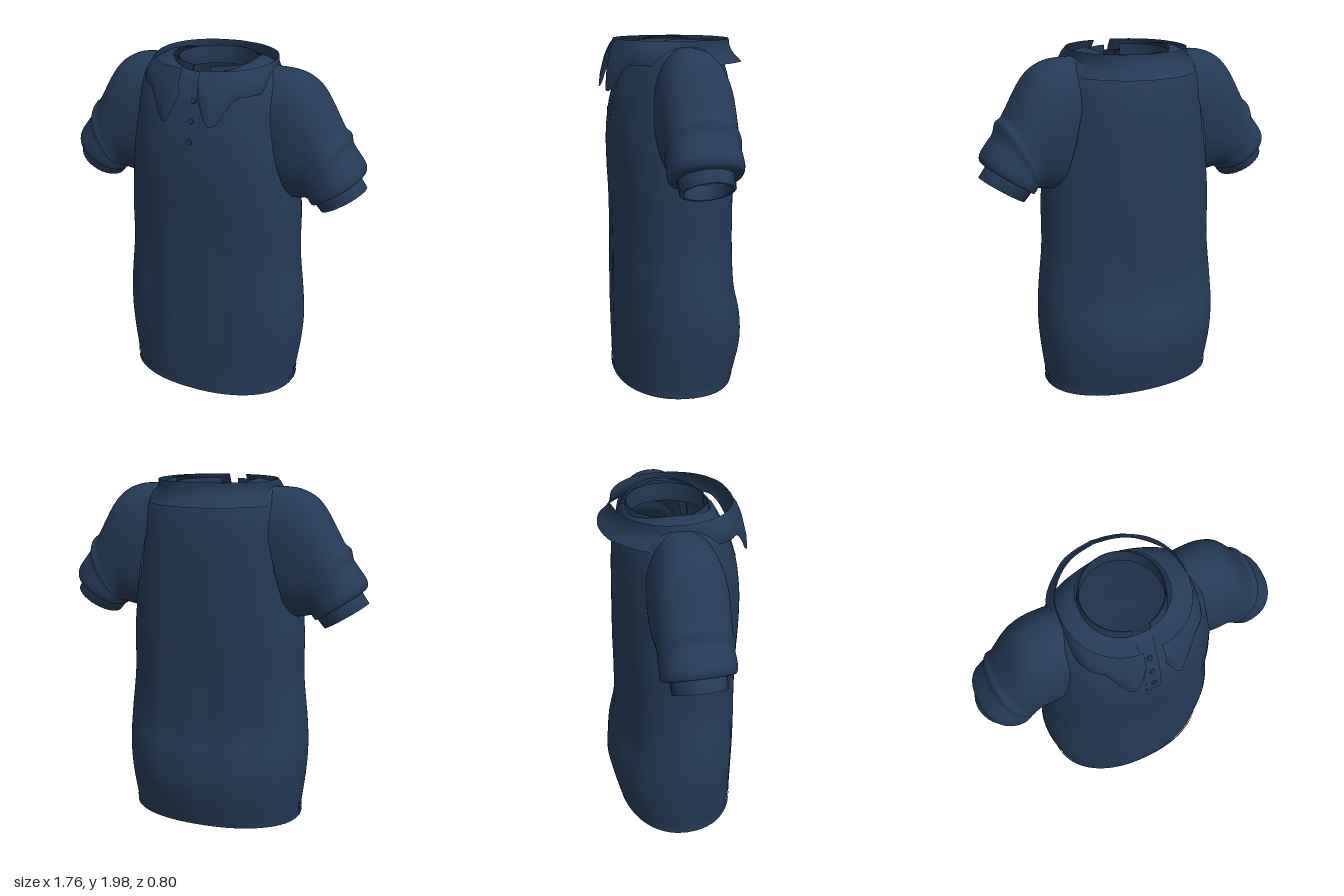
import * as THREE from 'three';

const navy = new THREE.MeshStandardMaterial({ color: 0x243a57, side: THREE.DoubleSide });
navy.name = 'navy cloth';

// Skin a list of cross-sections; closed joins each ring to itself, skip leaves holes
function loft(name, rings, closed = true, skip = () => false) {
  const n = rings[0].length, pos = [], idx = [];
  rings.forEach(r => r.forEach(p => pos.push(p.x, p.y, p.z)));
  for (let i = 0; i < rings.length - 1; i++) {
    for (let j = 0; j < (closed ? n : n - 1); j++) {
      const k = (j + 1) % n;
      const mid = rings[i][j].clone().add(rings[i + 1][k]).multiplyScalar(0.5);
      if (skip(mid)) continue;
      const a = i * n + j, b = i * n + k, c = a + n, d = b + n;
      idx.push(a, b, d, a, d, c);
    }
  }
  const g = new THREE.BufferGeometry();
  g.setAttribute('position', new THREE.Float32BufferAttribute(pos, 3));
  g.setIndex(idx);
  g.computeVertexNormals();
  const mesh = new THREE.Mesh(g, navy);
  mesh.name = name;
  return mesh;
}

// Smoothly subdivide rows of numbers
function smoothRows(rows, steps) {
  const out = [], at = i => rows[Math.min(rows.length - 1, Math.max(0, i))];
  for (let i = 0; i < rows.length - 1; i++) {
    for (let s = 0; s < steps; s++) {
      const t = s / steps;
      out.push(rows[i].map((b, k) => {
        const a = at(i - 1)[k], c = at(i + 1)[k], d = at(i + 2)[k];
        return b + 0.5 * t * (c - a + t * (2 * a - 5 * b + 4 * c - d + t * (3 * (b - c) + d - a)));
      }));
    }
  }
  out.push(rows[rows.length - 1]);
  return out;
}

const power = (v, e) => Math.sign(v) * Math.abs(v) ** e;

// Torso rows: height, half width, front z, back z, side lift
const torsoRows = smoothRows([
  [0.01, 0.505, 0.345, -0.335, 0], [0.06, 0.51, 0.35, -0.352, 0], [0.25, 0.535, 0.352, -0.392, 0],
  [0.42, 0.546, 0.354, -0.382, 0], [0.6, 0.538, 0.354, -0.342, 0], [0.85, 0.512, 0.352, -0.333, 0],
  [1.1, 0.508, 0.357, -0.335, 0], [1.25, 0.497, 0.366, -0.333, 0], [1.4, 0.485, 0.37, -0.33, 0],
  [1.52, 0.472, 0.364, -0.328, 0], [1.65, 0.455, 0.345, -0.323, 0], [1.76, 0.44, 0.31, -0.31, 0.03],
  [1.83, 0.41, 0.28, -0.292, 0.06], [1.885, 0.355, 0.25, -0.275, 0.06],
  [1.925, 0.29, 0.228, -0.262, 0.055], [1.943, 0.235, 0.205, -0.25, 0.05],
], 5);

function frontZ(y) {
  const i = Math.max(1, torsoRows.findIndex(r => r[0] >= y));
  const [a, b] = [torsoRows[i - 1], torsoRows[i]];
  return a[2] + (b[2] - a[2]) * (y - a[0]) / (b[0] - a[0]);
}

function torsoRing([y, w, zf, zb, lift], inset = 0) {
  const ring = [];
  for (let j = 0; j < 120; j++) {
    const a = j / 120 * Math.PI * 2, s = Math.sin(a), c = Math.cos(a);
    const x = (w - inset) * power(s, 0.91);
    // soft hanging folds, fading toward the chest and the hem
    const fold = 0.005 * Math.sin(x * 27) * Math.sin(Math.PI * Math.min(1, y / 1.3)) * c;
    ring.push(new THREE.Vector3(x, y + lift * s * s,
      ((c > 0 ? zf : -zb) - inset) * power(c, 0.91) + fold));
  }
  return ring;
}

// Sleeve rows: outer x, y, inner x, y, half depth
const sleeveRows = smoothRows([
  [0.3, 1.955, 0.46, 1.23, 0.2], [0.45, 1.95, 0.5, 1.235, 0.208], [0.55, 1.912, 0.53, 1.24, 0.205],
  [0.62, 1.84, 0.55, 1.245, 0.2], [0.7, 1.7, 0.562, 1.25, 0.197], [0.73, 1.65, 0.566, 1.252, 0.197],
  [0.762, 1.625, 0.57, 1.25, 0.202], [0.78, 1.565, 0.575, 1.252, 0.196], [0.82, 1.51, 0.58, 1.245, 0.2],
  [0.858, 1.455, 0.588, 1.235, 0.2], [0.862, 1.41, 0.595, 1.228, 0.188], [0.83, 1.385, 0.603, 1.238, 0.15],
], 4);

function sleeveRing([ox, oy, ix, iy, h], side, n = 2.3) {
  const ring = [];
  for (let j = 0; j < 64; j++) {
    const a = j / 64 * Math.PI * 2, u = power(Math.cos(a), 2 / n), v = power(Math.sin(a), 2 / n);
    ring.push(new THREE.Vector3(side * ((ox + ix) / 2 + u * (ox - ix) / 2),
      (oy + iy) / 2 + u * (oy - iy) / 2, -0.015 + v * h));
  }
  return ring;
}

// Collar leaf, front opening to centre back: top x, z, then bottom x, y, z
const collarRows = smoothRows([
  [0.05, 0.32, 0.05, 1.86, 0.362], [0.07, 0.318, 0.08, 1.79, 0.385], [0.1, 0.313, 0.11, 1.73, 0.396],
  [0.13, 0.305, 0.137, 1.71, 0.394], [0.17, 0.288, 0.17, 1.73, 0.37], [0.21, 0.262, 0.205, 1.795, 0.34],
  [0.25, 0.228, 0.245, 1.852, 0.3], [0.295, 0.165, 0.305, 1.86, 0.25], [0.325, 0.08, 0.345, 1.86, 0.15],
  [0.335, -0.02, 0.352, 1.86, 0], [0.315, -0.13, 0.348, 1.86, -0.19], [0.25, -0.23, 0.21, 1.86, -0.338],
  [0.14, -0.3, 0.11, 1.86, -0.384], [0, -0.328, 0, 1.86, -0.4],
], 4);

export function createModel() {
  const shirt = new THREE.Group();
  shirt.name = 'shortSleeveShirt';

  // Torso, open at hem, neck and armholes
  const hemLip = torsoRing([0.03, 0.505, 0.345, -0.335, 0], 0.015);
  const armhole = p => Math.abs(p.x) > 0.28 &&
    ((p.y - 1.57) / 0.315) ** 2 + ((p.z + 0.015) / 0.185) ** 2 < 1;
  shirt.add(loft('torso', [hemLip, ...torsoRows.map(r => torsoRing(r))], true, armhole));

  // Hem band
  const hem = [0.012, 0.05].map(y => torsoRing([y, 0.513, 0.353, -0.35 + (0.05 - y) * 0.25, 0]));
  shirt.add(loft('hemBand', hem));

  for (const side of [1, -1]) {
    const label = side > 0 ? 'left' : 'right';
    // Sleeve
    shirt.add(loft(label + 'Sleeve', sleeveRows.map(r => sleeveRing(r, side))));
    // Ribbed cuff, folded inside at its mouth
    const cuff = [
      [0.825, 1.4, 0.585, 1.25, 0.145], [0.838, 1.39, 0.59, 1.24, 0.15], [0.88, 1.33, 0.642, 1.18, 0.145],
      [0.862, 1.32, 0.66, 1.193, 0.122], [0.82, 1.385, 0.62, 1.26, 0.122],
    ].map(r => sleeveRing(r, side, 2));
    cuff.slice(1, 3).forEach(ring => ring.forEach((p, j) => { p.z *= j % 2 ? 1.015 : 0.985; }));
    shirt.add(loft(label + 'Cuff', cuff));
    // Side vent seam at the hem
    const vent = new THREE.Mesh(new THREE.BoxGeometry(0.006, 0.12, 0.006), navy);
    vent.position.set(side * 0.512, 0.07, -0.01);
    vent.name = label + 'VentSeam';
    shirt.add(vent);
  }

  // Turned-down collar: tips bulge forward, the back flares outward
  const half = collarRows.map(r => [0, 0.25, 0.5, 0.75, 1].map(t => {
    const [tx, tz, bx, by, bz] = r, bulge = 4 * t * (1 - t) * 0.02 * THREE.MathUtils.clamp(bz * 4, -1, 1);
    const out = new THREE.Vector2(bx, bz).normalize().multiplyScalar(bulge);
    return new THREE.Vector3(tx + (bx - tx) * t + out.x, 1.988 + (by - 1.988) * t,
      tz + (bz - tz) * t + (bz > 0 ? out.y : -Math.abs(out.y) + 2 * Math.abs(out.y)));
  }));
  const mirrored = half.slice(0, -1).reverse().map(c => c.map(p => new THREE.Vector3(-p.x, p.y, p.z)));
  shirt.add(loft('collar', [...half, ...mirrored], false));

  // Collar stand, open at the front
  const stand = [[1.87, 0.232], [1.975, 0.222], [1.975, 0.214], [1.87, 0.22]].map(([y, r]) => {
    const ring = [];
    for (let j = 0; j <= 60; j++) {
      const a = 0.23 + j / 60 * (Math.PI * 2 - 0.46);
      ring.push(new THREE.Vector3(r * Math.sin(a), y, -0.025 + r * Math.cos(a)));
    }
    return ring;
  });
  shirt.add(loft('collarStand', stand, false));

  // Button placket following the chest
  const strip = [];
  for (let i = 0; i <= 20; i++) {
    const y = 1.53 + i / 20 * 0.41, z = frontZ(y);
    strip.push([[-0.045, -0.006], [-0.043, 0.005], [0.043, 0.005], [0.045, -0.006]]
      .map(([x, d]) => new THREE.Vector3(x, y, z + d)));
  }
  shirt.add(loft('placket', strip, false));

  // Buttons
  for (const y of [1.81, 1.71, 1.6]) {
    const button = new THREE.Mesh(new THREE.CylinderGeometry(0.013, 0.015, 0.012, 20), navy);
    const slope = (frontZ(y + 0.02) - frontZ(y - 0.02)) / 0.04;
    button.rotation.x = Math.PI / 2 + Math.atan(slope);
    button.position.set(0, y, frontZ(y) + 0.009);
    button.name = 'button';
    shirt.add(button);
  }
  return shirt;
}
